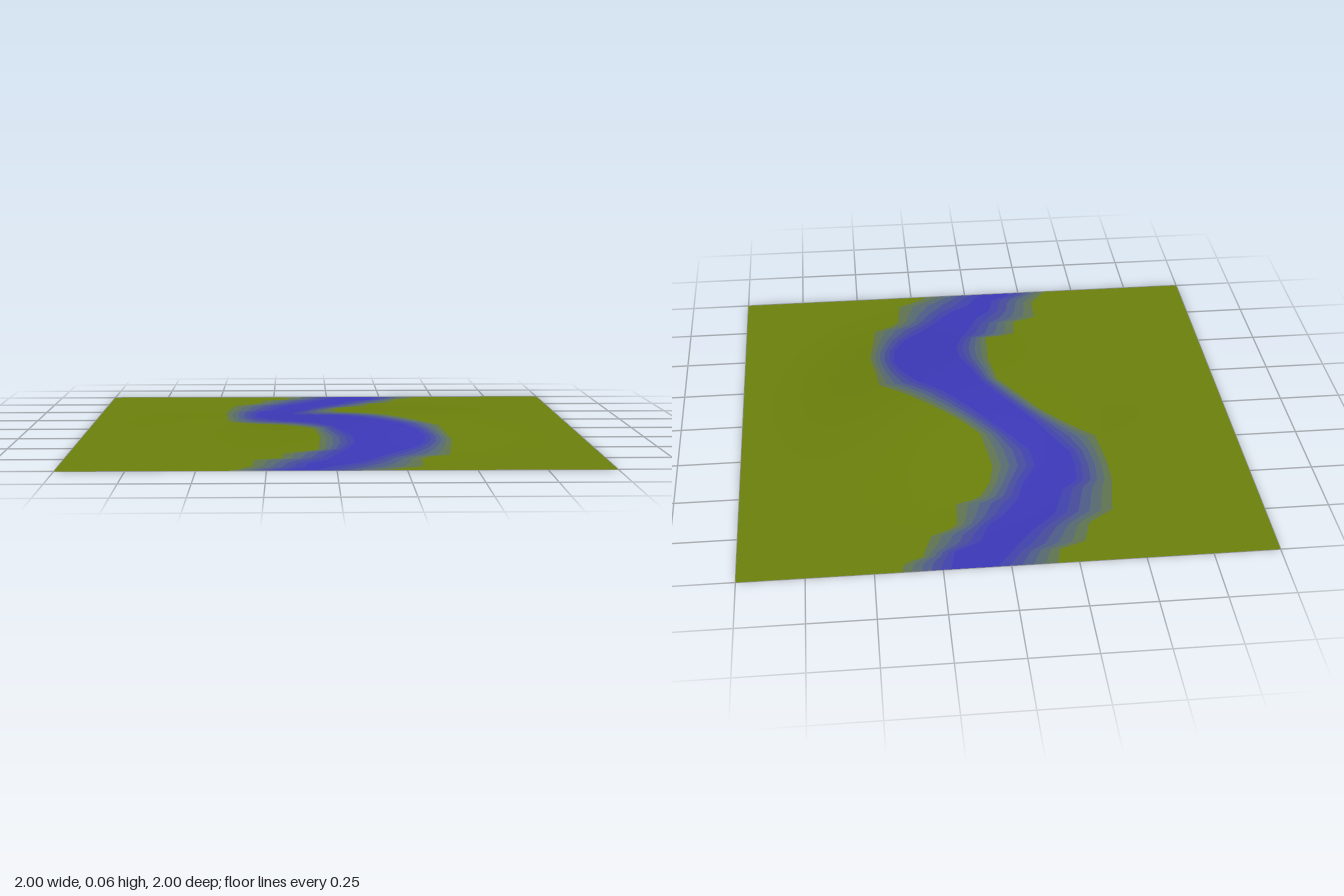
import * as THREE from 'three';

// River edges as [z, x] points, from the back to the front
const outerLeft = [[-1, -0.17], [-0.92, -0.19], [-0.88, -0.29], [-0.77, -0.32], [-0.7, -0.42], [-0.5, -0.45], [-0.4, -0.45],
  [-0.2, -0.43], [-0.1, -0.32], [0, -0.22], [0.1, -0.15], [0.22, -0.07], [0.4, -0.05], [0.6, -0.06], [0.63, -0.19],
  [0.74, -0.2], [0.77, -0.3], [0.9, -0.3], [1, -0.37]];
const innerLeft = [[-1, 0.05], [-0.85, -0.06], [-0.8, -0.1], [-0.7, -0.2], [-0.55, -0.25], [-0.5, -0.31], [-0.4, -0.32],
  [-0.3, -0.31], [-0.2, -0.25], [-0.1, -0.2], [0, -0.13], [0.1, -0.06], [0.2, 0], [0.3, 0.03], [0.4, 0.07], [0.5, 0.08],
  [0.6, 0.05], [0.7, 0], [0.78, -0.03], [0.85, -0.1], [0.95, -0.12], [0.97, -0.19], [1, -0.21]];
const innerRight = [[-1, 0.22], [-0.9, 0.2], [-0.85, 0.1], [-0.75, 0.06], [-0.7, 0], [-0.6, -0.07], [-0.5, -0.1],
  [-0.4, -0.16], [-0.3, -0.15], [-0.2, -0.08], [-0.1, 0], [0, 0.08], [0.1, 0.16], [0.2, 0.27], [0.3, 0.33], [0.4, 0.36],
  [0.5, 0.35], [0.6, 0.3], [0.7, 0.2], [0.8, 0.12], [0.85, 0.08], [0.9, 0], [1, -0.07]];
const outerRight = [[-1, 0.4], [-0.95, 0.39], [-0.92, 0.32], [-0.8, 0.28], [-0.75, 0.18], [-0.62, 0.17], [-0.59, 0.08],
  [-0.5, 0.03], [-0.4, 0.01], [-0.2, 0.04], [-0.1, 0.12], [0, 0.22], [0.1, 0.32], [0.2, 0.43], [0.3, 0.44], [0.45, 0.46],
  [0.6, 0.44], [0.7, 0.43], [0.74, 0.35], [0.78, 0.32], [0.92, 0.31], [0.95, 0.25], [1, 0.18]];

// x on an edge at a given z
function edgeAt(points, z) {
  let i = 1;
  while (i < points.length - 1 && points[i][0] < z) i++;
  const [z0, x0] = points[i - 1], [z1, x1] = points[i];
  return THREE.MathUtils.lerp(x0, x1, (z - z0) / (z1 - z0));
}

// A rounded mound that fades out smoothly
function mound(x, z, cx, cz, rx, rz, height) {
  const d = Math.min(1, Math.hypot((x - cx) / rx, (z - cz) / rz));
  return height * Math.cos(d * Math.PI / 2) ** 2;
}
const heightAt = (x, z) =>
  mound(x, z, 0.22, 0.04, 0.7, 0.88, 0.058) + mound(x, z, -0.6, -0.2, 0.26, 0.3, 0.004);

// A strip of ground between two edges, following the terrain
function strip(name, material, left, right, columns) {
  const rows = 100, positions = [], normals = [], index = [], e = 0.01;
  for (let r = 0; r <= rows; r++) {
    const z = -1 + 2 * r / rows;
    for (let c = 0; c <= columns; c++) {
      const x = THREE.MathUtils.lerp(left(z), right(z), c / columns);
      positions.push(x, heightAt(x, z), z);
      const n = new THREE.Vector3(heightAt(x - e, z) - heightAt(x + e, z), 2 * e,
        heightAt(x, z - e) - heightAt(x, z + e)).normalize();
      normals.push(n.x, n.y, n.z);
      if (r < rows && c < columns) {
        const a = r * (columns + 1) + c, b = a + columns + 1;
        index.push(a, b, a + 1, b, b + 1, a + 1);
      }
    }
  }
  const geometry = new THREE.BufferGeometry();
  geometry.setAttribute('position', new THREE.Float32BufferAttribute(positions, 3));
  geometry.setAttribute('normal', new THREE.Float32BufferAttribute(normals, 3));
  geometry.setIndex(index);
  const mesh = new THREE.Mesh(geometry, material);
  mesh.name = name;
  return mesh;
}

function createMaterial(name, color) {
  const material = new THREE.MeshStandardMaterial({ color, side: THREE.DoubleSide });
  material.name = name;
  return material;
}

export function createModel() {
  const group = new THREE.Group();
  group.name = 'riverTerrain';
  const grass = createMaterial('grass green', 0x6b800b);
  const water = createMaterial('water blue', 0x3c38b8);
  const shades = [0x5f7350, 0x566a70, 0x4e5c88, 0x474c9c, 0x4142ac];
  const banks = shades.map((color, i) => createMaterial(`bank shade ${i + 1}`, color));

  // Grass on both sides and the open water
  group.add(strip('grassRight', grass, () => -1, z => edgeAt(outerLeft, z), 24));
  group.add(strip('grassLeft', grass, z => edgeAt(outerRight, z), () => 1, 32));
  group.add(strip('water', water, z => edgeAt(innerLeft, z), z => edgeAt(innerRight, z), 10));

  // Stepped banks blending from grass to water
  const between = (outer, inner, t) => z => THREE.MathUtils.lerp(edgeAt(outer, z), edgeAt(inner, z), t);
  banks.forEach((material, i) => {
    const t0 = i / banks.length, t1 = (i + 1) / banks.length;
    group.add(strip(`bankRight${i + 1}`, material, between(outerLeft, innerLeft, t0), between(outerLeft, innerLeft, t1), 2));
    group.add(strip(`bankLeft${i + 1}`, material, between(outerRight, innerRight, t1), between(outerRight, innerRight, t0), 2));
  });
  return group;
}
